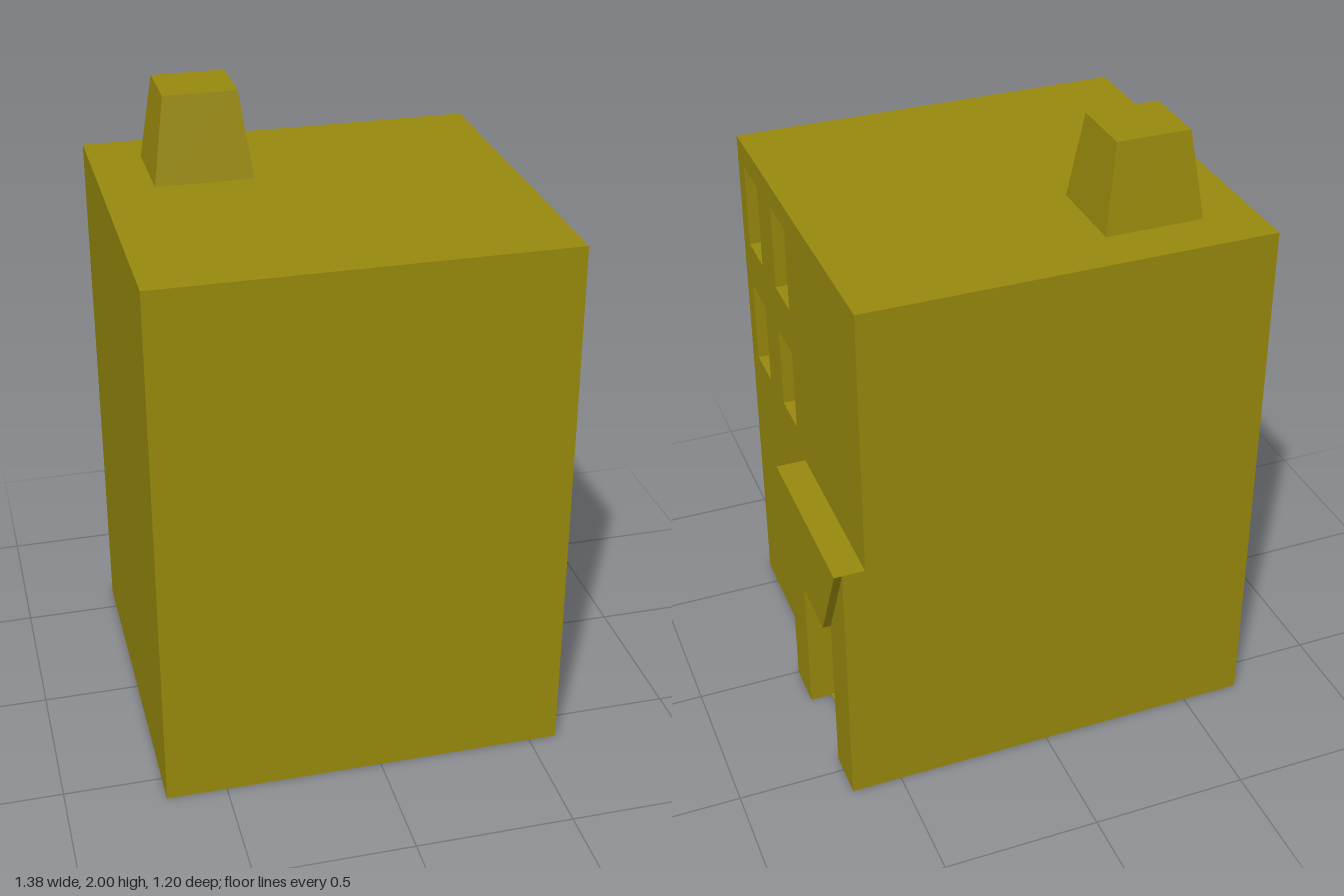
import * as THREE from 'three';

const material = new THREE.MeshStandardMaterial({ color: 0x9a8b0d, flatShading: true });

function add(group, name, geometry) {
  const mesh = new THREE.Mesh(geometry, material);
  mesh.name = name;
  group.add(mesh);
  return mesh;
}

const outline = (points) => points.map(([z, y]) => new THREE.Vector2(-z, y));

const rect = (z0, z1, y0, y1) => [[z0, y0], [z1, y0], [z1, y1], [z0, y1]];

// Slab drawn in (z, y) and extruded along x from x0 to x1
function slab(points, x0, x1, holes = []) {
  const shape = new THREE.Shape(outline(points));
  for (const hole of holes) shape.holes.push(new THREE.Path(outline(hole)));
  const geometry = new THREE.ExtrudeGeometry(shape, { depth: x1 - x0, bevelEnabled: false });
  return geometry.rotateY(Math.PI / 2).translate(x0, 0, 0);
}

export function createModel() {
  const group = new THREE.Group();
  group.name = 'building';

  const wallX = 0.59, recessX = 0.55, height = 1.725;

  // Main block up to the back of the recesses
  const core = new THREE.BoxGeometry(recessX + 0.69, height, 1.2);
  add(group, 'body', core.translate((recessX - 0.69) / 2, height / 2, 0));

  // Entrance wall with window and door recesses
  const openings = [rect(-0.15, -0.445, 0.005, 0.555)];
  for (const z of [0.53, 0.23]) {
    for (const y of [0.94, 1.37]) openings.push(rect(z, z - 0.15, y, y + 0.277));
  }
  add(group, 'entranceWall', slab(rect(0.6, -0.6, 0, height), recessX, wallX, openings));

  // Porch with an open doorway
  const porch = [[0, 0], [-0.15, 0], [-0.15, 0.555], [-0.445, 0.555],
    [-0.445, 0], [-0.6, 0], [-0.6, 0.863], [0, 0.863]];
  add(group, 'porch', slab(porch, wallX, 0.66));

  // Tapered panel above the doorway
  const canopy = [[-0.15, 0.555], [-0.445, 0.555], [-0.6, 0.863], [0, 0.863]];
  add(group, 'canopy', slab(canopy, 0.66, 0.685));

  // Chimney: a box narrowed towards its top
  const chimney = new THREE.BoxGeometry(0.31, 0.275, 0.285);
  const p = chimney.attributes.position;
  for (let i = 0; i < p.count; i++) {
    if (p.getY(i) > 0) p.setXYZ(i, p.getX(i) * 0.75, p.getY(i), p.getZ(i) * 0.75);
  }
  chimney.computeVertexNormals();
  add(group, 'chimney', chimney).position.set(-0.37, height + 0.1375, -0.3025);

  return group;
}
